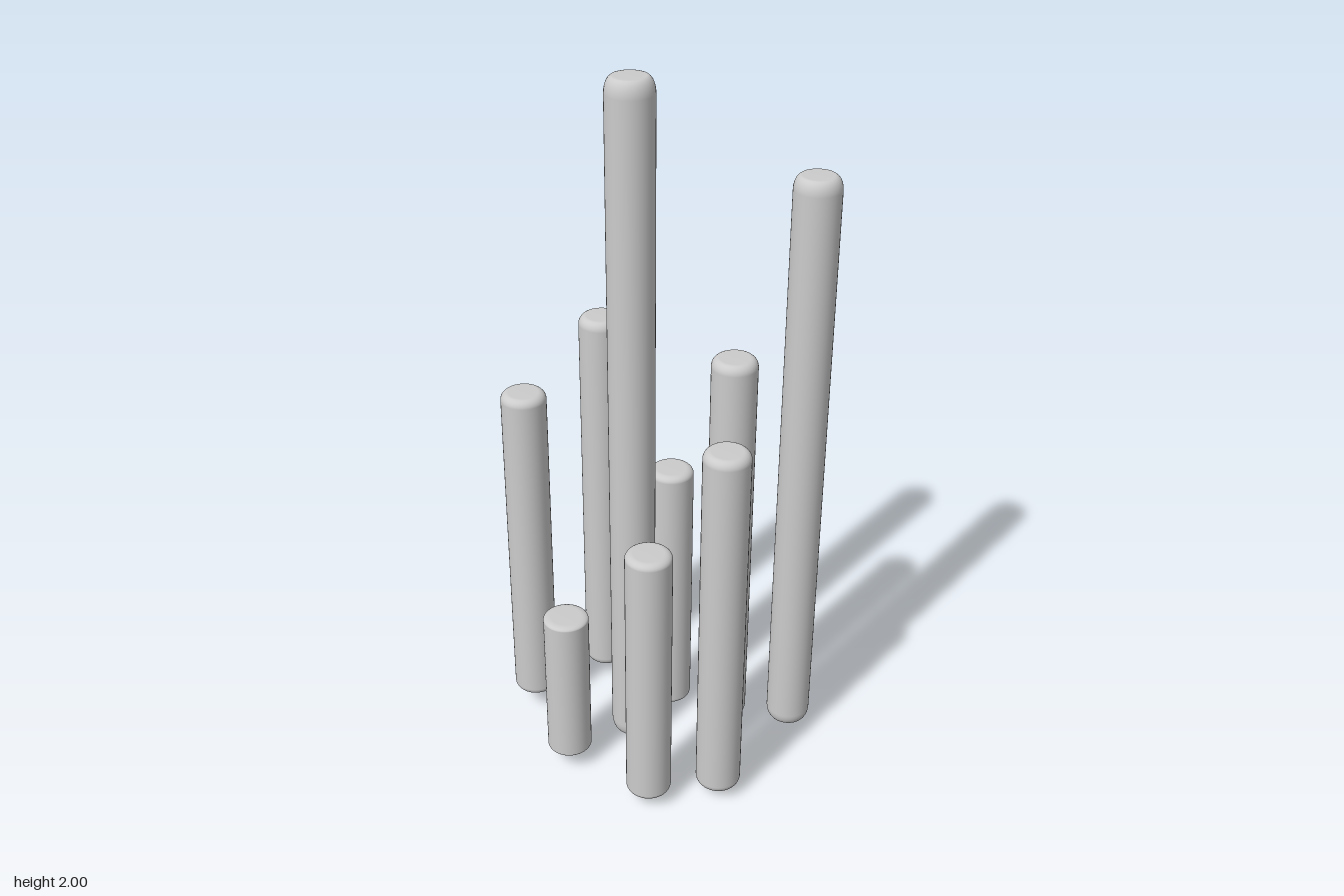
import * as THREE from 'three';

const RADIUS = 0.063;
const BEVEL = 0.022;

// x, z, bottom, top of each rod
const RODS = [
  [-0.125, -0.33, 0.07, 1.083],
  [0.13, -0.253, 0.05, 1.235],
  [-0.267, -0.093, 0.053, 0.515],
  [-0.06, -0.013, 0.015, 2.0],
  [0.13, -0.013, 0.013, 0.825],
  [-0.267, 0.187, 0.037, 0.838],
  [0.127, 0.187, 0.047, 1.235],
  [-0.125, 0.328, 0.03, 1.122],
  [0.265, 0.328, 0, 1.727],
];

// Round rod with softened ends; the softening grows with its length
function rodGeometry(length) {
  const rise = 0.022 * length;
  const half = length / 2;
  const profile = [new THREE.Vector2(0, -half)];
  const steps = 6;
  for (const end of [-1, 1]) {
    for (let i = 0; i <= steps; i++) {
      const t = (end < 0 ? i : steps - i) / steps * Math.PI / 2;
      profile.push(new THREE.Vector2(
        RADIUS - BEVEL + BEVEL * Math.sin(t),
        end * (half - rise + rise * Math.cos(t)),
      ));
    }
  }
  profile.push(new THREE.Vector2(0, half));
  return new THREE.LatheGeometry(profile, 40);
}

export function createModel() {
  const group = new THREE.Group();
  group.name = 'rodCluster';
  const material = new THREE.MeshStandardMaterial({ color: 0xcccccc });

  RODS.forEach(([x, z, bottom, top], i) => {
    const rod = new THREE.Mesh(rodGeometry(top - bottom), material);
    rod.name = `rod${i + 1}`;
    rod.position.set(x, (bottom + top) / 2, z);
    group.add(rod);
  });
  return group;
}
